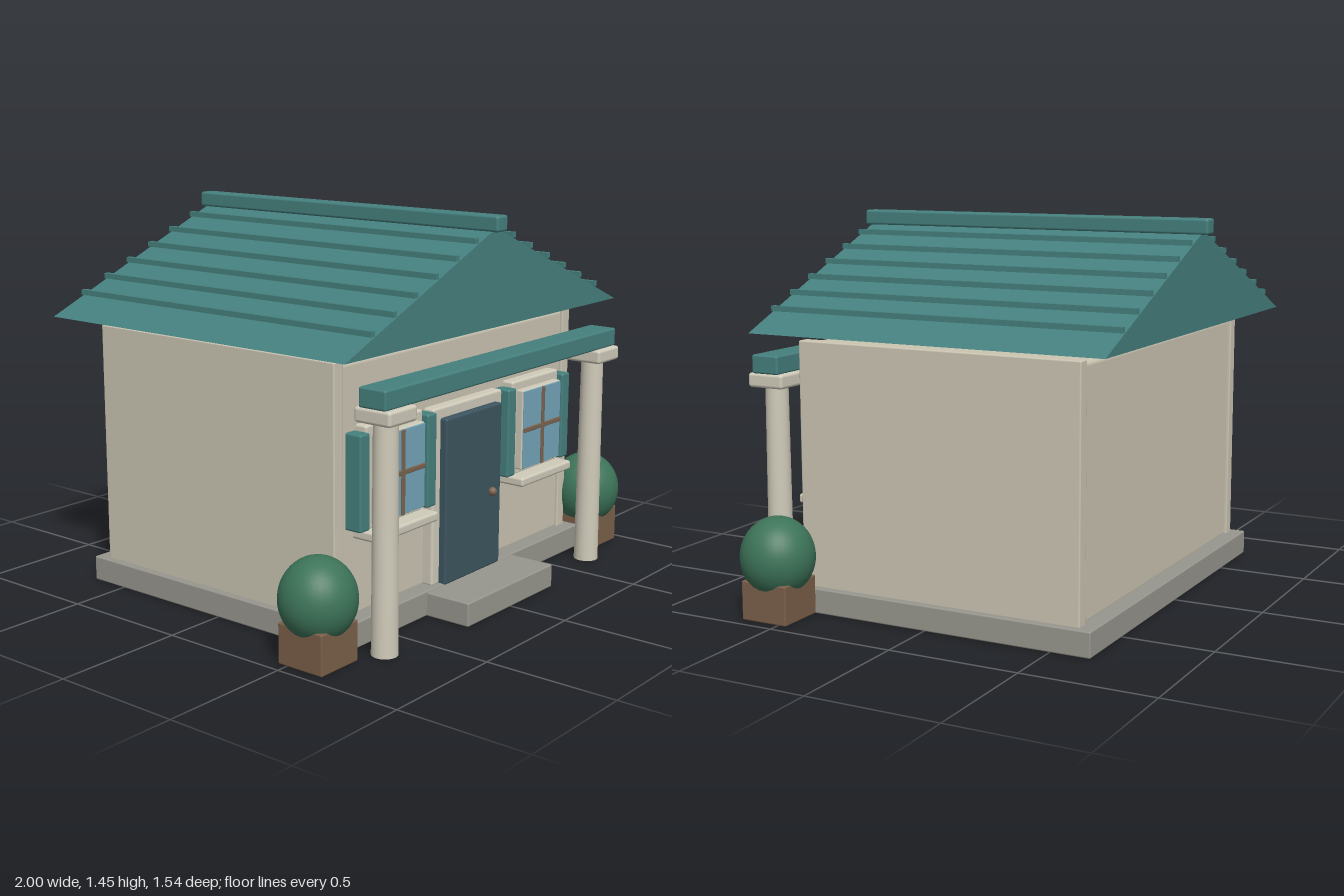
import * as THREE from 'three';
import { RoundedBoxGeometry } from 'three/addons/geometries/RoundedBoxGeometry.js';

const paint = (name, color) => {
  const m = new THREE.MeshStandardMaterial({ color });
  m.name = name;
  return m;
};

export function createModel() {
  const wallMat = paint('beige wall', 0xcbc5b2);
  const trimMat = paint('cream trim', 0xd0cbba);
  const tealMat = paint('teal', 0x45807e);
  const stoneMat = paint('grey stone', 0x98968e);
  const doorMat = paint('slate door', 0x3d5560);
  const glassMat = paint('blue glass', 0x74a5ba);
  const woodMat = paint('brown wood', 0x7b5f49);
  const brassMat = paint('dark bronze', 0x7a6350);
  const leafMat = paint('green leaves', 0x3d7459);

  const house = new THREE.Group();
  house.name = 'cottage';

  const add = (parent, name, geometry, material, x = 0, y = 0, z = 0) => {
    const mesh = new THREE.Mesh(geometry, material);
    mesh.name = name;
    mesh.position.set(x, y, z);
    parent.add(mesh);
    return mesh;
  };

  // Softly rounded box given by its extents on each axis
  const box = (parent, name, material, [x0, x1], [y0, y1], [z0, z1], radius = 0.006) => {
    const w = x1 - x0, h = y1 - y0, d = z1 - z0;
    const r = Math.min(radius, w * 0.3, h * 0.3, d * 0.3);
    return add(parent, name, new RoundedBoxGeometry(w, h, d, 2, r), material,
      (x0 + x1) / 2, (y0 + y1) / 2, (z0 + z1) / 2);
  };

  // Stone base and entrance step
  box(house, 'base', stoneMat, [-0.77, 0.77], [0, 0.095], [-0.655, 0.585]);
  box(house, 'step', stoneMat, [-0.28, 0.28], [0, 0.09], [0.5, 0.769]);

  // Walls: end walls run the full depth, front and back are set between them
  box(house, 'body', wallMat, [-0.72, 0.72], [0.08, 1.0], [-0.59, 0.52], 0.02);
  for (const s of [-1, 1]) {
    box(house, 'sideWall', wallMat, s < 0 ? [-0.743, -0.692] : [0.692, 0.743], [0.08, 1.01], [-0.602, 0.532]);
  }

  // Solid gable roof
  const roofEnd = 0.67, roofDepth = 1.41, halfSpan = 0.855, eave = 1.04, apex = 1.4;
  const gable = new THREE.Shape();
  gable.moveTo(-halfSpan, eave);
  gable.lineTo(halfSpan, eave);
  gable.lineTo(0, apex);
  gable.closePath();
  add(house, 'roof', new THREE.ExtrudeGeometry(gable, { depth: roofDepth, bevelEnabled: false }),
    tealMat, 0, 0, roofEnd - roofDepth);

  // Roof battens and ridge cap
  for (const s of [-1, 1]) {
    for (let i = 1; i <= 6; i++) {
      const x = i * 0.1177;
      const y = apex - (apex - eave) * x / halfSpan + 0.014;
      add(house, 'roofBatten', new THREE.BoxGeometry(0.02, 0.02, roofDepth - 0.004), tealMat,
        s * x, y, roofEnd - roofDepth / 2);
    }
  }
  box(house, 'ridgeCap', tealMat, [-0.033, 0.033], [1.387, 1.446], [-0.768, 0.697], 0.01);

  // Door with frame and knob
  box(house, 'doorFrame', trimMat, [-0.22, 0.22], [0.09, 0.76], [0.5, 0.563], 0.01);
  box(house, 'door', doorMat, [-0.178, 0.178], [0.09, 0.72], [0.53, 0.592], 0.008);
  add(house, 'doorKnob', new THREE.SphereGeometry(0.017, 16, 12), brassMat, 0.112, 0.387, 0.6);

  for (const s of [-1, 1]) {
    // Window with sash, panes, glazing bars, sill and shutters
    const win = new THREE.Group();
    win.name = 'window';
    win.position.x = s * 0.45;
    house.add(win);
    box(win, 'windowFrame', trimMat, [-0.162, 0.162], [0.4, 0.775], [0.5, 0.566], 0.01);
    box(win, 'sash', trimMat, [-0.134, 0.134], [0.425, 0.74], [0.53, 0.595]);
    box(win, 'glass', glassMat, [-0.13, 0.13], [0.429, 0.736], [0.592, 0.6], 0.002);
    box(win, 'uprightBar', brassMat, [-0.009, 0.009], [0.429, 0.736], [0.594, 0.606], 0.003);
    box(win, 'crossBar', brassMat, [-0.13, 0.13], [0.574, 0.592], [0.594, 0.606], 0.003);
    box(win, 'sill', trimMat, [-0.177, 0.177], [0.37, 0.406], [0.51, 0.63], 0.01);
    for (const side of [-1, 1]) {
      const c = side * 0.192;
      box(win, 'shutter', tealMat, [c - 0.027, c + 0.027], [0.41, 0.755], [0.515, 0.587], 0.008);
    }

    // Porch column with capital
    add(house, 'column', new THREE.CylinderGeometry(0.043, 0.048, 0.83, 32), trimMat, s * 0.664, 0.415, 0.69);
    const cx = s * 0.664;
    box(house, 'capital', trimMat, [cx - 0.077, cx + 0.077], [0.82, 0.875], [0.613, 0.766], 0.012);

    // Round shrub in a square planter
    box(house, 'planter', woodMat, [s * 0.862 - 0.096, s * 0.862 + 0.096], [0, 0.148], [0.463, 0.656]);
    const shrub = add(house, 'shrub', new THREE.SphereGeometry(0.138, 32, 24), leafMat, s * 0.862, 0.228, 0.56);
    shrub.scale.y = 1.08;
  }

  // Beam across the columns
  box(house, 'porchBeam', tealMat, [-0.74, 0.74], [0.873, 0.944], [0.632, 0.747], 0.008);

  return house;
}
